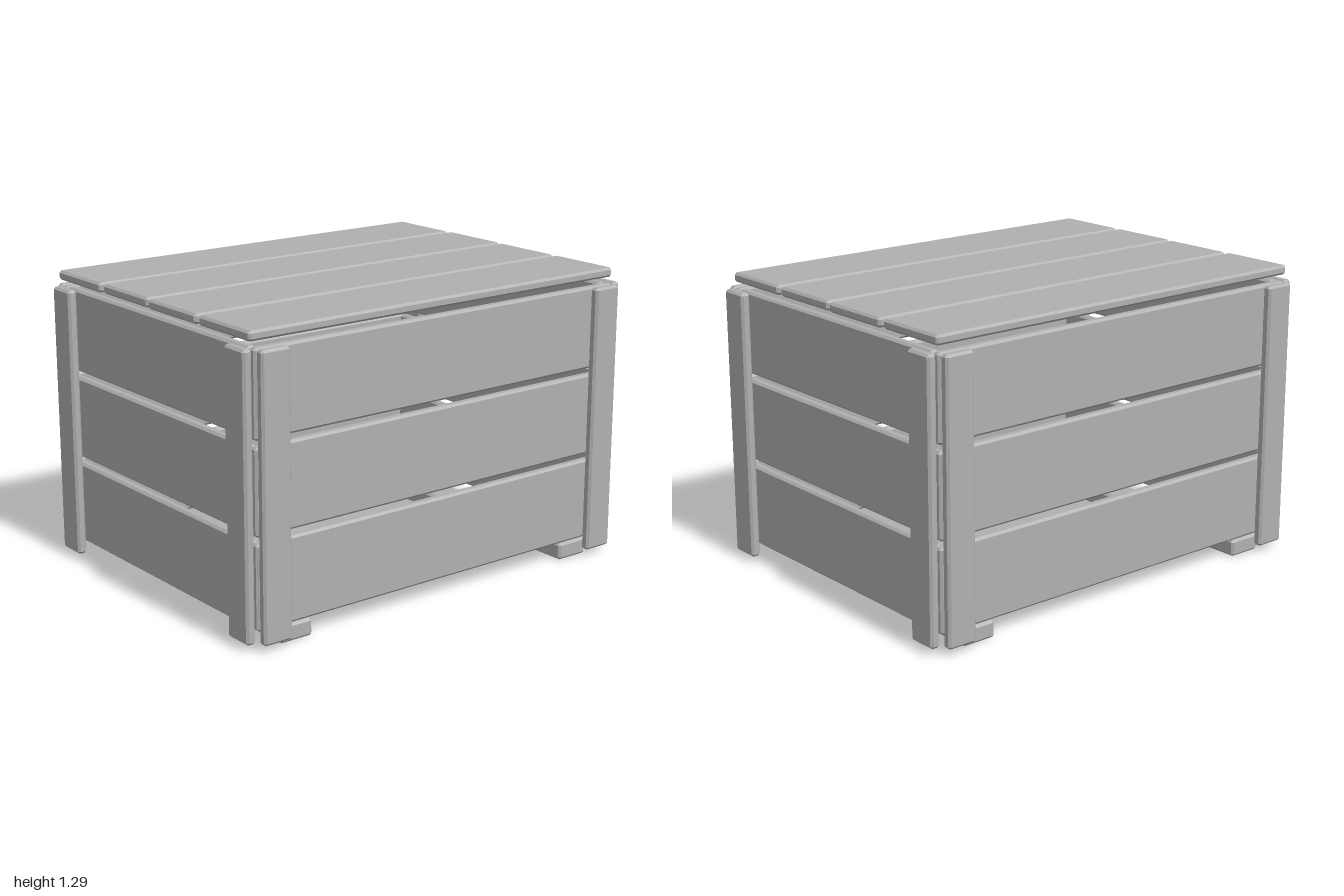
import * as THREE from 'three';
import { ConvexGeometry } from 'three/addons/geometries/ConvexGeometry.js';

const grey = new THREE.MeshStandardMaterial({ color: 0xb0b0b0 });
grey.name = 'plain grey wood';

// Box with chamfered edges: each corner becomes three points
function chamferedBox(w, h, d, c = 0.01) {
  const points = [];
  for (const sx of [-1, 1]) for (const sy of [-1, 1]) for (const sz of [-1, 1]) {
    const x = w / 2, y = h / 2, z = d / 2;
    points.push(
      new THREE.Vector3(sx * x, sy * (y - c), sz * (z - c)),
      new THREE.Vector3(sx * (x - c), sy * y, sz * (z - c)),
      new THREE.Vector3(sx * (x - c), sy * (y - c), sz * z)
    );
  }
  return new ConvexGeometry(points);
}

export function createModel() {
  const group = new THREE.Group();
  group.name = 'slattedCrate';

  // Board given by its extents on each axis
  function board(name, [x0, x1], [y0, y1], [z0, z1]) {
    const mesh = new THREE.Mesh(chamferedBox(x1 - x0, y1 - y0, z1 - z0), grey);
    mesh.position.set((x0 + x1) / 2, (y0 + y1) / 2, (z0 + z1) / 2);
    mesh.name = name;
    group.add(mesh);
  }
  const mirrored = (s, a, b) => (s > 0 ? [a, b] : [-b, -a]);

  // Three wall planks per side
  for (let i = 0; i < 3; i++) {
    const y = [0.078 + i * 0.389, 0.44 + i * 0.389];
    for (const s of [1, -1]) {
      board(s > 0 ? 'frontPlank' : 'backPlank', [-0.95, 0.95], y, mirrored(s, 0.674, 0.716));
      board(s > 0 ? 'leftPlank' : 'rightPlank', mirrored(s, 0.911, 0.953), y, [-0.673, 0.673]);
    }
  }

  // Paired upright battens at the four corners
  const postY = [0.03, 1.218];
  for (const sx of [1, -1]) for (const sz of [1, -1]) {
    board('cornerBatten', mirrored(sx, 0.812, 0.948), postY, mirrored(sz, 0.719, 0.761));
    board('sideBatten', mirrored(sx, 0.957, 0.999), postY, mirrored(sz, 0.578, 0.713));
  }

  // Runners under the open bottom
  for (const s of [1, -1]) board('runner', mirrored(s, 0.684, 0.842), [0, 0.075], [-0.717, 0.717]);

  // Lid planks, each slightly out of line
  [-0.008, -0.003, -0.009, -0.007].forEach((dx, i) => {
    const z = -0.539 + i * 0.359;
    board('lidPlank', [dx - 0.961, dx + 0.961], [1.244, 1.286], [z - 0.171, z + 0.171]);
  });

  return group;
}
